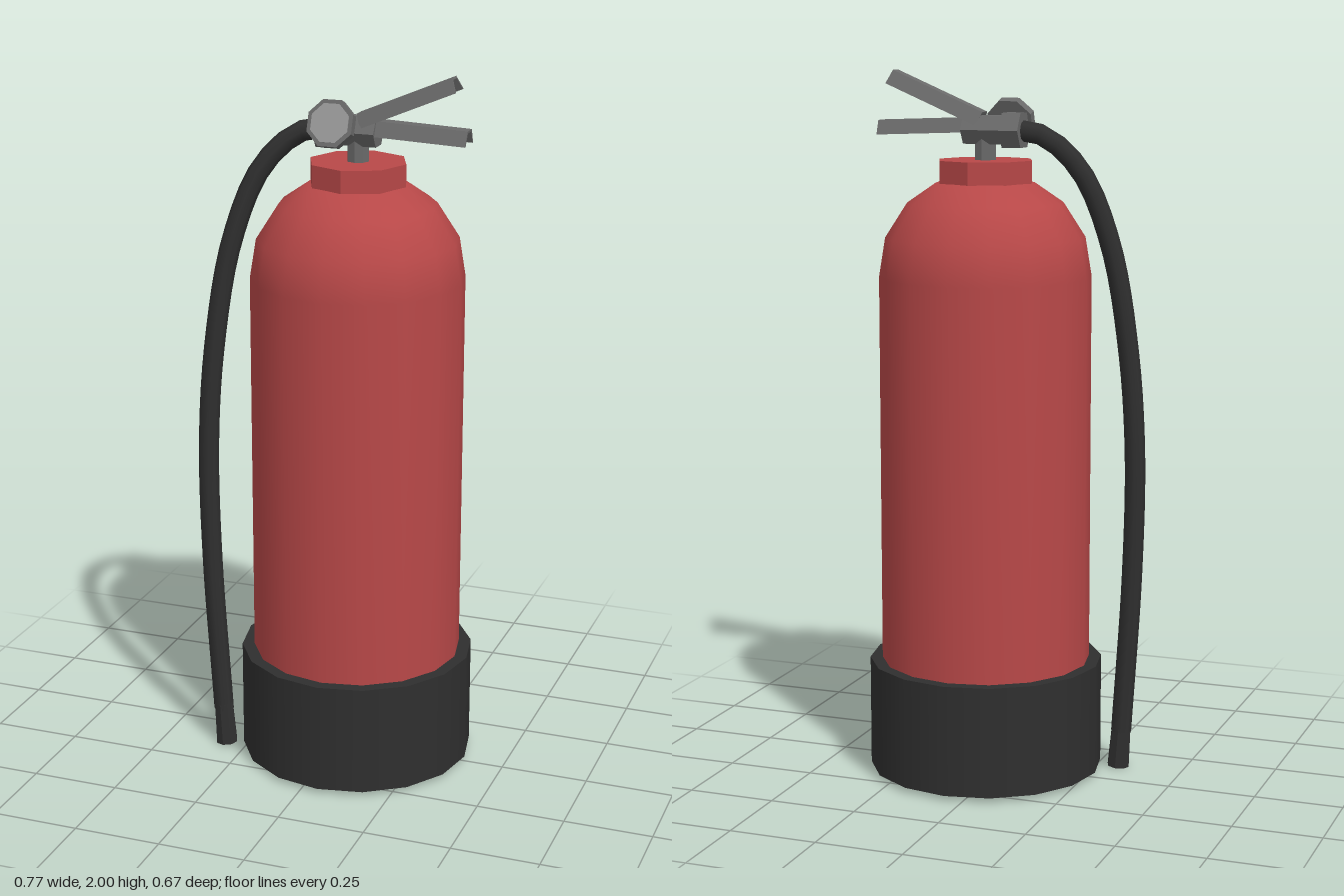
import * as THREE from 'three';

const material = (name, color, flatShading = false) =>
  Object.assign(new THREE.MeshStandardMaterial({ color, flatShading }), { name });

export function createModel() {
  const red = material('red paint', 0xb84848);
  const black = material('black rubber', 0x2f2f2f);
  const metal = material('grey metal', 0x6a6a6a);
  const pale = material('pale gauge face', 0x989898);
  const model = new THREE.Group();
  model.name = 'fireExtinguisher';
  const AXIS = 0.052;

  const add = (name, geometry, mat, x = 0, y = 0, z = 0, parent = model) => {
    const mesh = new THREE.Mesh(geometry, mat);
    mesh.name = name;
    mesh.position.set(x, y, z);
    parent.add(mesh);
    return mesh;
  };
  // Few-sided prism with hard edges
  const prism = (rTop, rBottom, height, sides, turn = 0) => {
    const g = new THREE.CylinderGeometry(rTop, rBottom, height, sides).rotateY(turn).toNonIndexed();
    g.computeVertexNormals();
    return g;
  };

  // Tank with domed shoulder
  const profile = [
    [0.295, 0.05], [0.298, 0.3], [0.298, 1.43], [0.28, 1.54], [0.218, 1.637], [0.138, 1.692], [0, 1.7],
  ].map(([r, y]) => new THREE.Vector2(r, y));
  add('tank', new THREE.LatheGeometry(profile, 16), red, AXIS);

  // Base boot and neck collar
  add('baseBoot', new THREE.CylinderGeometry(0.333, 0.333, 0.315, 16), black, AXIS, 0.1725);
  add('collar', prism(0.138, 0.138, 0.065, 8), red, AXIS, 1.7225);

  // Valve: stem, body and hose fitting
  add('valveStem', prism(0.031, 0.031, 0.1, 8), metal, AXIS, 1.795);
  add('valveBody', prism(0.045, 0.045, 0.12, 6).rotateZ(Math.PI / 2), metal, 0.05, 1.838);
  add('hoseFitting', prism(0.055, 0.055, 0.055, 6).rotateZ(Math.PI / 2), metal, -0.034, 1.838);

  // Levers: half-hexagon channels, open below
  const w = 0.037, h = 0.04, t = 0.006;
  const channel = new THREE.Shape([
    [-w, 0], [-w + t, 0], [-w / 2 + t / 2, h - t], [w / 2 - t / 2, h - t],
    [w - t, 0], [w, 0], [w / 2, h], [-w / 2, h],
  ].map(([x, y]) => new THREE.Vector2(x, y)));
  const lever = (name, x, y, length, angle) => {
    const g = new THREE.ExtrudeGeometry(channel, { depth: length, bevelEnabled: false });
    add(name, g.rotateY(Math.PI / 2), metal, x, y).rotation.z = angle;
  };
  lever('upperLever', 0.069, 1.85, 0.29, 0.4);
  lever('lowerLever', 0.075, 1.832, 0.29, -0.04);

  // Pressure gauge, tilted upward
  const gauge = new THREE.Group();
  gauge.name = 'gauge';
  gauge.position.set(-0.008, 1.865, 0.06);
  gauge.rotation.x = Math.PI / 2 - 0.35;
  model.add(gauge);
  const turn = Math.PI / 8;
  add('gaugeCase', prism(0.069, 0.069, 0.026, 8, turn), metal, 0, -0.013, 0, gauge);
  add('gaugeMount', prism(0.03, 0.03, 0.05, 8, turn), metal, 0, -0.04, 0, gauge);
  add('gaugeFace', prism(0.057, 0.057, 0.004, 8, turn), pale, 0, 0.001, 0, gauge);

  // Hose and nozzle
  const path = new THREE.CatmullRomCurve3([
    [-0.05, 1.838, -0.004], [-0.12, 1.822, 0.008], [-0.215, 1.725, 0.042], [-0.29, 1.52, 0.08],
    [-0.337, 1.22, 0.105], [-0.356, 0.93, 0.113], [-0.35, 0.58, 0.117], [-0.321, 0.11, 0.12],
  ].map((p) => new THREE.Vector3(...p)));
  add('hose', new THREE.TubeGeometry(path, 32, 0.029, 8), black);
  add('nozzle', prism(0.028, 0.032, 0.125, 8), black, -0.317, 0.066, 0.121).rotation.z = 0.07;

  return model;
}
